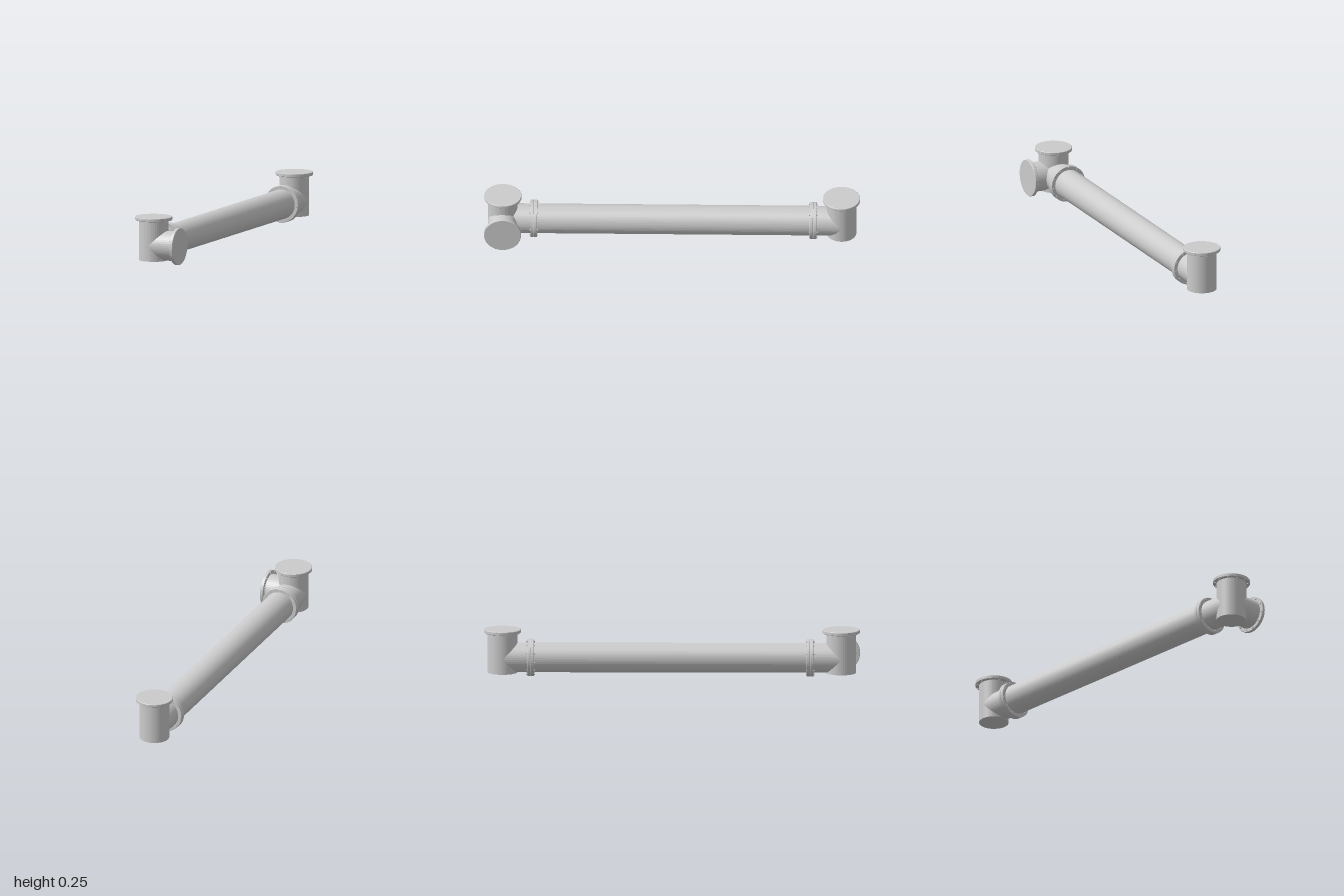
import * as THREE from 'three';

const SIDES = 48, PIPE_R = 0.079, FLANGE_R = 0.099, FLANGE_T = 0.018, BOLTS = 11;
const AXIS_X = -0.028, AXIS_Y = 0.1, END_Z = 0.9;
const REACH = 0.153; // fitting centre to flange face

const metal = new THREE.MeshStandardMaterial({ color: 0xcccccc, flatShading: true });

function part(name, geometry) {
  const mesh = new THREE.Mesh(geometry, metal);
  mesh.name = name;
  return mesh;
}

// Solid flange whose outer face lies at local y = 0, bolt heads on its inner side
function flange() {
  const g = new THREE.Group();
  g.name = 'flange';
  const b = 0.002;
  const profile = [
    [0, -FLANGE_T], [FLANGE_R - b, -FLANGE_T], [FLANGE_R, -FLANGE_T + b],
    [FLANGE_R, -b], [FLANGE_R - b, 0], [0, 0],
  ].map(([r, y]) => new THREE.Vector2(r, y));
  g.add(part('flangeDisc', new THREE.LatheGeometry(profile, SIDES)));
  const head = new THREE.CylinderGeometry(0.005, 0.005, 0.005, 10);
  for (let i = 0; i < BOLTS; i++) {
    const a = Math.PI + (i / BOLTS) * Math.PI * 2;
    const bolt = part('bolt', head);
    bolt.position.set(Math.cos(a) * 0.0885, -FLANGE_T - 0.002, Math.sin(a) * 0.0885);
    g.add(bolt);
  }
  return g;
}

// Pipe along local y from one height to another, with a flange at its far end
function branch(name, from, to) {
  const g = new THREE.Group();
  g.name = name;
  const pipe = part('pipe', new THREE.CylinderGeometry(PIPE_R, PIPE_R, to - from, SIDES));
  pipe.position.y = (from + to) / 2;
  const end = flange();
  end.position.y = to;
  g.add(pipe, end);
  return g;
}

// Turns a branch from +y to a horizontal heading (0 = +x, PI/2 = -z)
function lay(group, heading) {
  group.rotation.set(0, heading, -Math.PI / 2);
  return group;
}

export function createModel() {
  const model = new THREE.Group();
  model.name = 'flangedPipe';
  const joints = { front: 0.735, rear: -0.75 };

  // Front three-way fitting
  const front = new THREE.Group();
  front.name = 'frontFitting';
  front.position.set(AXIS_X, AXIS_Y, END_Z);
  front.add(
    branch('upperBranch', -0.08, REACH),
    lay(branch('sideBranch', 0, REACH), 0),
    lay(branch('inwardBranch', 0, END_Z - joints.front), Math.PI / 2),
  );

  // Rear elbow fitting
  const rear = new THREE.Group();
  rear.name = 'rearFitting';
  rear.position.set(AXIS_X, AXIS_Y, -END_Z);
  rear.add(
    branch('upperBranch', -0.08, REACH),
    lay(branch('inwardBranch', 0, END_Z + joints.rear), -Math.PI / 2),
  );

  // Long straight pipe, flanged at both ends
  const main = new THREE.Group();
  main.name = 'mainPipe';
  main.position.set(AXIS_X, AXIS_Y, 0);
  main.add(lay(branch('rearRun', -joints.front, -joints.rear), Math.PI / 2));
  const frontFlange = lay(flange(), -Math.PI / 2);
  frontFlange.position.z = joints.front;
  main.add(frontFlange);

  model.add(front, rear, main);
  return model;
}
